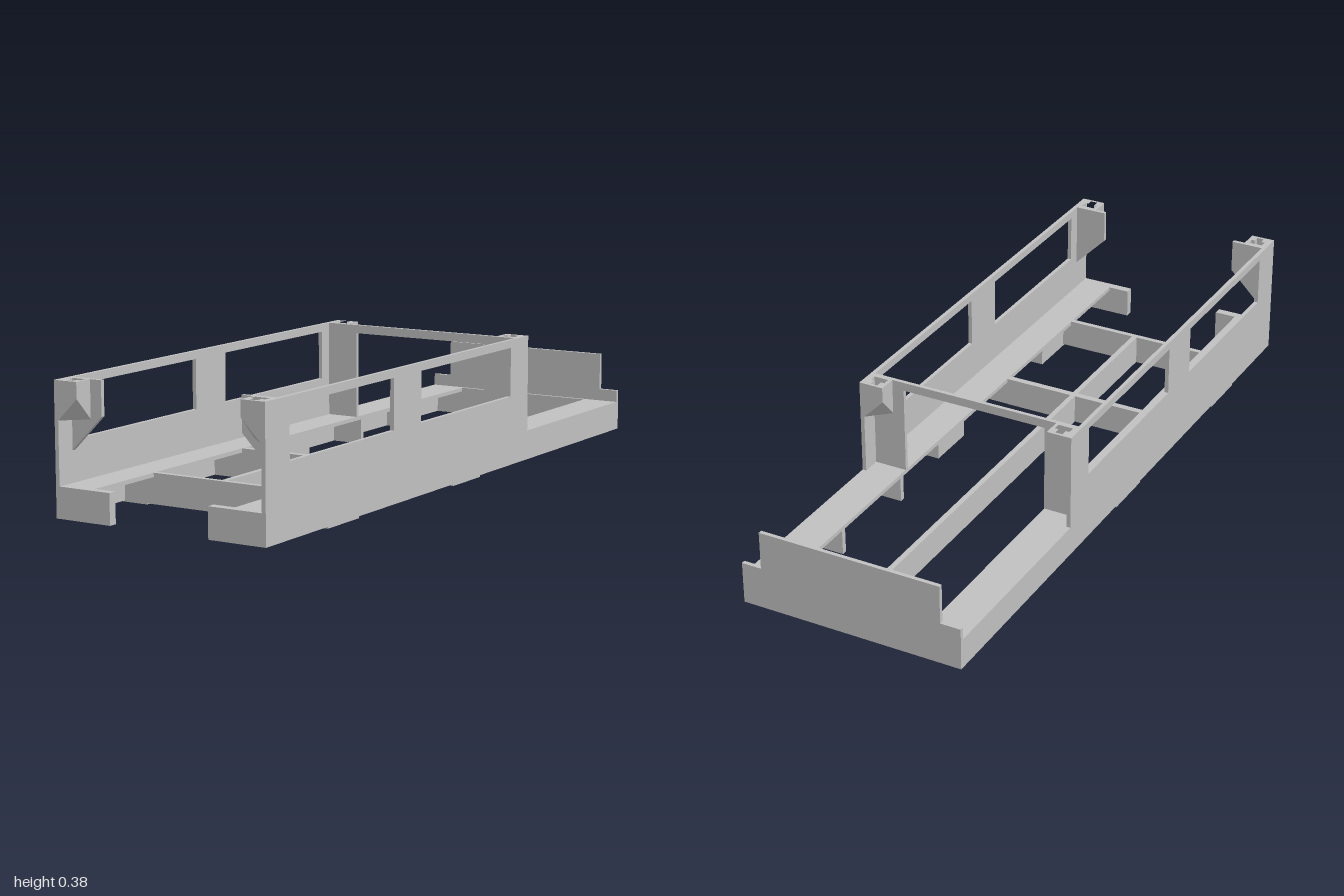
import * as THREE from 'three';
import { ConvexGeometry } from 'three/addons/geometries/ConvexGeometry.js';

const grey = new THREE.MeshStandardMaterial({ color: 0xc0c0c0 });
grey.name = 'lightGrey';

const OUT = 0.332, INNER = 0.32, LEDGE = 0.222;   // half widths
const BASE = 0.005, DECK = 0.092, TOP = 0.375;    // heights

export function createModel() {
  const model = new THREE.Group();

  const add = (name, geometry) => {
    const mesh = new THREE.Mesh(geometry, grey);
    mesh.name = name;
    model.add(mesh);
    return mesh;
  };

  // Box from its two opposite corners, in any order
  const box = (name, x0, x1, y0, y1, z0, z1) => {
    const g = new THREE.BoxGeometry(Math.abs(x1 - x0), Math.abs(y1 - y0), Math.abs(z1 - z0));
    g.translate((x0 + x1) / 2, (y0 + y1) / 2, (z0 + z1) / 2);
    return add(name, g);
  };

  const polygon = (pts) => new THREE.Shape(pts.map(([x, y]) => new THREE.Vector2(x, y)));
  const hole = (pts) => new THREE.Path(pts.map(([x, y]) => new THREE.Vector2(x, y)));
  const rect = (a, b, c, d) => [[a, c], [b, c], [b, d], [a, d]];
  const extrude = (shape, depth) =>
    new THREE.ExtrudeGeometry(shape, { depth, bevelEnabled: false, curveSegments: 10 });

  // Plate in the x-z plane; outlines are given as (x, -z)
  const flatPlate = (name, shape, y, depth) =>
    add(name, extrude(shape, depth).rotateX(-Math.PI / 2).translate(0, y, 0));

  // Corner post: pocketed head over a block with its free lower corner cut away.
  // zPlate is the side on the plate, zFree the open end.
  const cornerPost = (s, zPlate, zFree) => {
    const neck = 0.335;
    const a = 0.258, b = OUT - 0.001;
    const at = (t) => zPlate + (zFree - zPlate) * t;

    const head = polygon(rect(s * a, s * b, -zPlate, -zFree));
    head.holes.push(hole([
      [s * 0.268, -at(0.12)], [s * 0.312, -at(0.12)], [s * 0.312, -at(0.5)],
      [s * 0.301, -at(0.5)], [s * 0.301, -at(0.85)], [s * 0.279, -at(0.85)],
      [s * 0.279, -at(0.5)], [s * 0.268, -at(0.5)],
    ]));
    flatPlate('cornerPostHead', head, neck, TOP - neck);

    const pts = [];
    for (const z of [zPlate, zFree]) {
      pts.push([a, neck, z], [b, neck, z], [b, 0.268, z], [INNER, 0.268, z]);
    }
    pts.push([a, 0.33, zFree], [a, 0.268, zPlate]);
    add('cornerPostBlock', new ConvexGeometry(pts.map(([x, y, z]) => new THREE.Vector3(s * x, y, z))));
  };

  for (const s of [-1, 1]) {
    // Side wall with two window openings and a low rear section
    const wall = polygon([[-1, BASE], [1, BASE], [1, TOP], [-0.387, TOP], [-0.387, DECK], [-1, DECK]]);
    wall.holes.push(hole(rect(0.38, 0.89, 0.208, 0.352)), hole(rect(-0.28, 0.235, 0.208, 0.352)));
    const t = OUT - INNER;
    add('sideWall', extrude(wall, t).rotateY(-Math.PI / 2).translate(s > 0 ? OUT : -INNER, 0, 0));

    // Ledge along the inside of the wall
    box('ledge', s * LEDGE, s * INNER, DECK - 0.012, DECK, -0.99, 0.99);

    // Front lip
    box('frontLip', s * 0.156, s * OUT, BASE, DECK, 0.975, 1);

    // Ribs hanging below the ledge
    for (const z of [-0.67, -0.355, 0.285, 0.71]) {
      box('ledgeRib', s * LEDGE, s * INNER, BASE, DECK - 0.012, z - 0.008, z + 0.008);
    }

    // Mounting pads with two screw holes, boxed in by small walls
    for (const z of [0.635, -0.022]) {
      const pad = polygon(rect(s * 0.25, s * OUT, -z - 0.077, -z + 0.077));
      for (const d of [-0.036, 0.036]) {
        const screw = new THREE.Path();
        screw.absarc(s * 0.288, -z + d, 0.016, 0, Math.PI * 2, true);
        pad.holes.push(screw);
      }
      flatPlate('mountingPad', pad, 0, 0.012);
      for (const d of [-0.071, 0.071]) {
        box('padWall', s * 0.25, s * INNER, 0.01, DECK - 0.012, z + d - 0.006, z + d + 0.006);
      }
      box('padInnerWall', s * 0.25, s * 0.258, 0.01, DECK - 0.012, z - 0.071, z + 0.071);
    }

    // Front bracket plate with a sloping underside
    const bracket = polygon([
      [s * LEDGE, 0.278], [s * INNER, 0.18], [s * INNER, TOP], [s * LEDGE, TOP],
    ]);
    add('frontBracket', extrude(bracket, 0.012).translate(0, 0, 0.93));
    cornerPost(s, 0.941, 1);

    // Rear bulkhead pillar
    box('rearPillar', s * LEDGE, s * INNER, DECK, TOP, -0.332, -0.32);
    cornerPost(s, -0.331, -0.387);
  }

  // Beam between the rear pillars
  box('topBeam', -LEDGE, LEDGE, 0.35, TOP, -0.332, -0.32);

  // Centre spine and cross members
  box('centreSpine', -0.008, 0.008, BASE, DECK, -0.99, 0.71);
  box('crossMember', -LEDGE, LEDGE, BASE, DECK, 0.276, 0.296);
  box('crossMember', -LEDGE, LEDGE, BASE, DECK, 0.702, 0.718);

  // Back panel, narrower towards the top
  const back = polygon([
    [-OUT, BASE], [OUT, BASE], [OUT, 0.128], [0.272, 0.128],
    [0.272, 0.24], [-0.272, 0.24], [-0.272, 0.128], [-OUT, 0.128],
  ]);
  add('backPanel', extrude(back, 0.012).translate(0, 0, -1));
  box('backSill', -LEDGE, LEDGE, BASE, DECK, -0.99, -0.978);

  return model;
}
